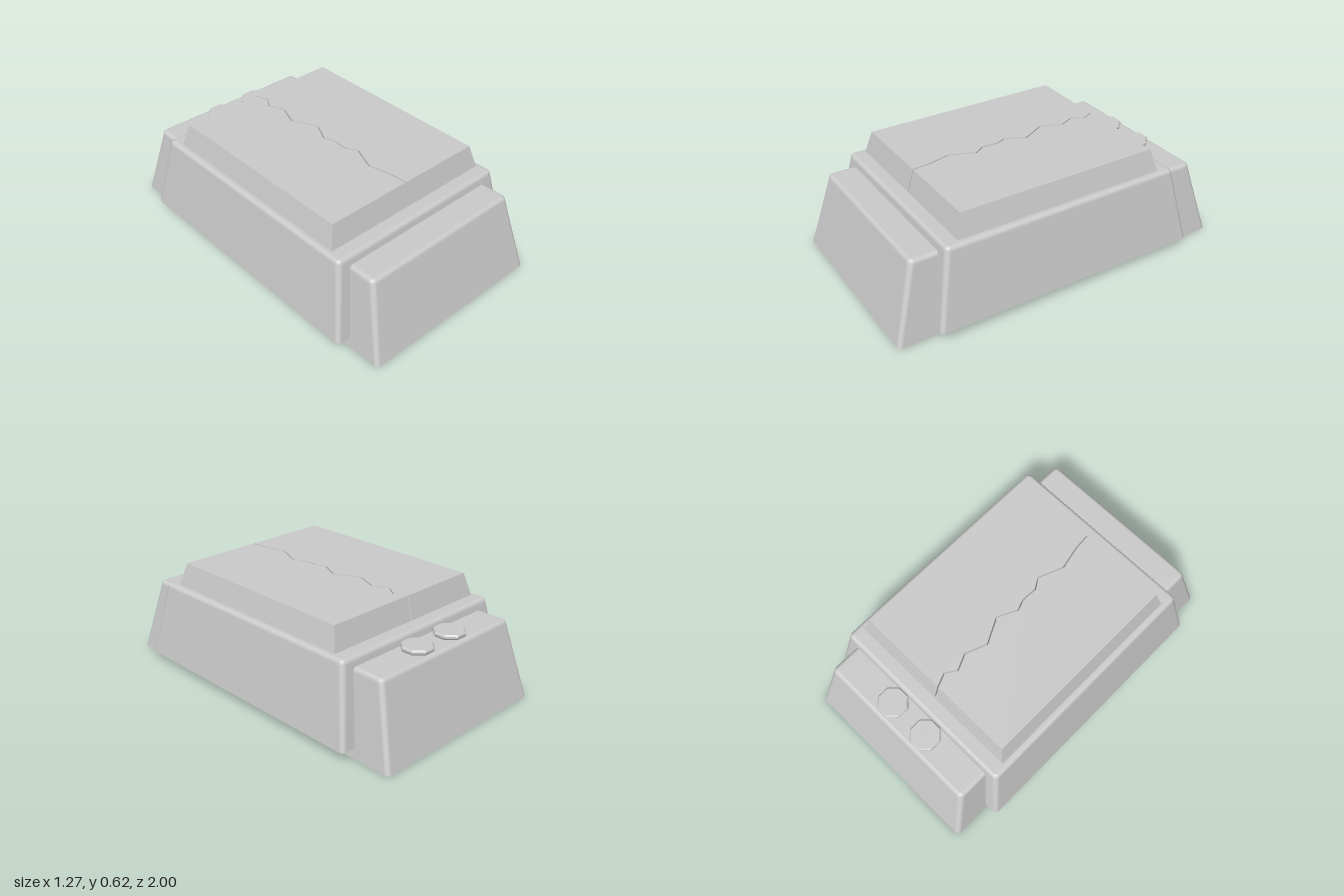
import * as THREE from 'three';

const material = new THREE.MeshStandardMaterial({ color: 0xcccccc, side: THREE.DoubleSide });
const flatMaterial = new THREE.MeshStandardMaterial({ color: 0xcccccc, side: THREE.DoubleSide, flatShading: true });

function addMesh(parent, name, geometry, mat = material) {
  const mesh = new THREE.Mesh(geometry, mat);
  mesh.name = name;
  parent.add(mesh);
  return mesh;
}

// Rounded rectangle outline, running from +x towards +z
function roundedRing(hx, hz, r, y) {
  const points = [];
  const steps = 4;
  for (let c = 0; c < 4; c++) {
    const sx = c === 0 || c === 3 ? 1 : -1;
    const sz = c < 2 ? 1 : -1;
    for (let i = 0; i <= steps; i++) {
      const a = (c + i / steps) * Math.PI / 2;
      points.push([sx * (hx - r) + r * Math.cos(a), y, sz * (hz - r) + r * Math.sin(a)]);
    }
  }
  return points;
}

// Tapered cover, open below, with rounded edges
function taperedShell(bottom, top, y0, y1, r) {
  const rings = [roundedRing(bottom[0], bottom[1], r, y0)];
  const steps = 4;
  for (let i = 0; i <= steps; i++) {
    const a = i / steps * Math.PI / 2;
    const inset = r * (1 - Math.cos(a));
    rings.push(roundedRing(top[0] - inset, top[1] - inset, r * 1.2 - inset, y1 - r + r * Math.sin(a)));
  }
  const n = rings[0].length;
  const index = [];
  for (let k = 0; k < rings.length - 1; k++) {
    for (let j = 0; j < n; j++) {
      const a = k * n + j;
      const b = k * n + (j + 1) % n;
      index.push(a, a + n, b, b, a + n, b + n);
    }
  }
  const last = (rings.length - 1) * n;
  const centre = rings.length * n;
  for (let j = 0; j < n; j++) index.push(centre, last + (j + 1) % n, last + j);
  const geometry = new THREE.BufferGeometry();
  geometry.setAttribute('position', new THREE.Float32BufferAttribute([...rings.flat(2), 0, y1, 0], 3));
  geometry.setIndex(index);
  geometry.computeVertexNormals();
  return geometry;
}

// Half of the top slab: straight outer side, jagged inner side, walls leaning in
function slabHalf(side) {
  const crack = [
    [-0.03, -0.61], [0, -0.5], [-0.04, -0.44], [0, -0.35], [-0.047, -0.23], [0.025, -0.09], [-0.028, 0.02],
    [-0.006, 0.08], [-0.01, 0.17], [0.026, 0.23], [-0.03, 0.37], [-0.001, 0.5], [0.007, 0.635],
  ];
  const gap = 0.004;
  const height = 0.13;
  const outline = crack.map(([x, z]) => new THREE.Vector2(x + side * gap, -z));
  outline.push(new THREE.Vector2(side * 0.53, -0.635), new THREE.Vector2(side * 0.53, 0.61));
  const geometry = new THREE.ExtrudeGeometry(new THREE.Shape(outline), { depth: height, bevelEnabled: false });
  geometry.rotateX(-Math.PI / 2);
  const p = geometry.attributes.position;
  for (let i = 0; i < p.count; i++) {
    if (p.getY(i) < height / 2) continue;
    p.setX(i, THREE.MathUtils.clamp(p.getX(i), -0.495, 0.495));
    p.setZ(i, THREE.MathUtils.clamp(p.getZ(i), -0.575, 0.6));
  }
  geometry.computeVertexNormals();
  return geometry;
}

export function createModel() {
  const model = new THREE.Group();
  model.name = 'crackedCase';

  // Long inner base and wider outer body
  addMesh(model, 'base', taperedShell([0.563, 1], [0.499, 0.885], 0, 0.44, 0.025));
  const body = addMesh(model, 'body', taperedShell([0.637, 0.788], [0.566, 0.708], 0.055, 0.49, 0.025));
  body.position.z = 0.012;

  // Top slab split by a jagged crack
  const slab = new THREE.Group();
  slab.name = 'topSlab';
  slab.position.y = 0.488;
  model.add(slab);
  addMesh(slab, 'slabLeft', slabHalf(1), flatMaterial);
  addMesh(slab, 'slabRight', slabHalf(-1), flatMaterial);

  // Two octagonal buttons on the rear ledge
  const profile = [[0.08, 0], [0.088, 0.012], [0.088, 0.023], [0.08, 0.031], [0, 0.031]]
    .map(([x, y]) => new THREE.Vector2(x, y));
  for (const [name, x] of [['buttonLeft', 0.122], ['buttonRight', -0.128]]) {
    const button = addMesh(model, name, new THREE.LatheGeometry(profile, 8, Math.PI / 8), flatMaterial);
    button.position.set(x, 0.435, -0.778);
  }
  return model;
}
